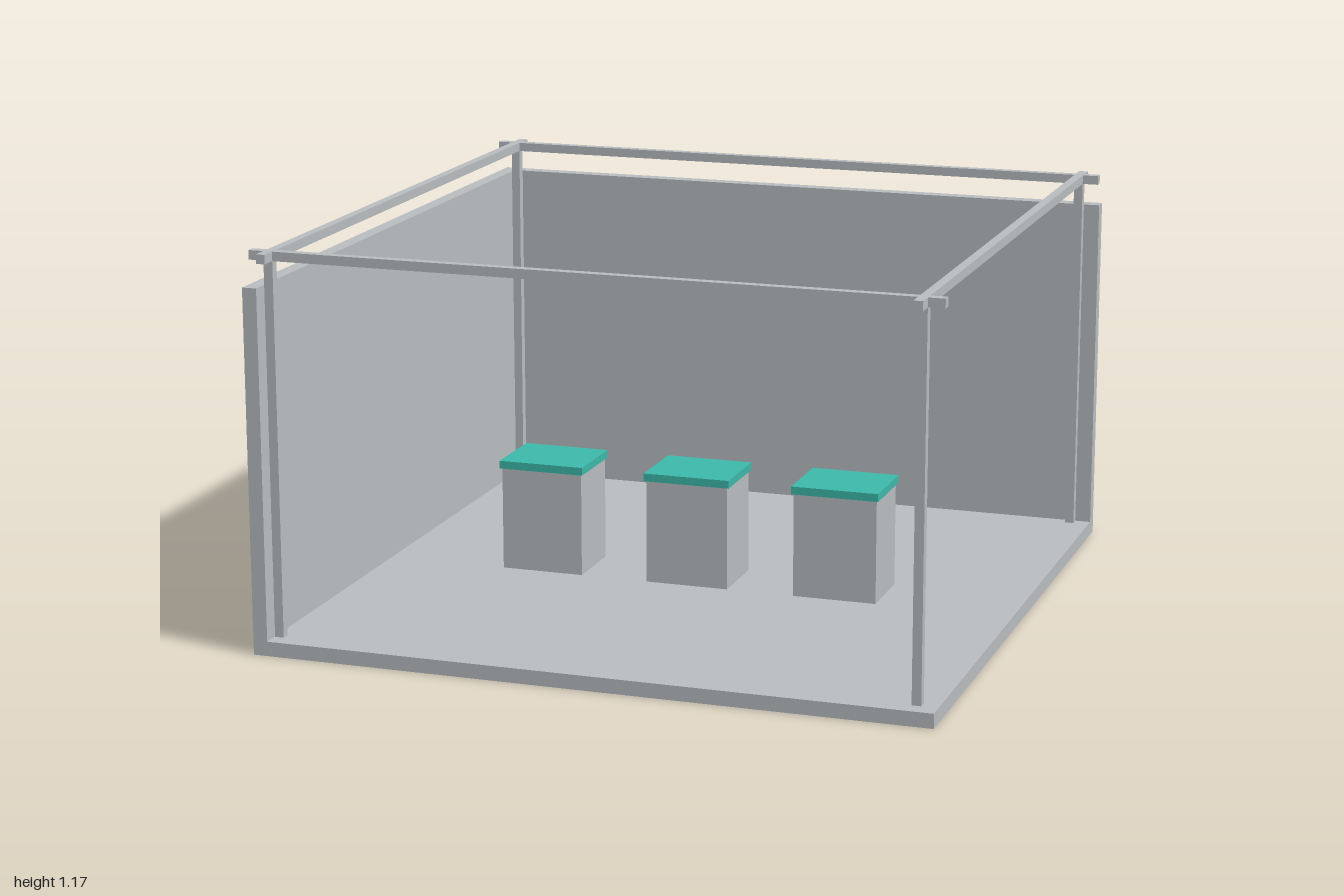
import * as THREE from 'three';

export function createModel() {
  const model = new THREE.Group();
  const grey = new THREE.MeshStandardMaterial({ color: 0xb9bdc0 });
  grey.name = 'pale grey';
  const teal = new THREE.MeshStandardMaterial({ color: 0x3db9aa });
  teal.name = 'teal';

  // Box given by its extents on each axis
  function box(name, material, [x0, x1], [y0, y1], [z0, z1], parent = model) {
    const mesh = new THREE.Mesh(new THREE.BoxGeometry(x1 - x0, y1 - y0, z1 - z0), material);
    mesh.position.set((x0 + x1) / 2, (y0 + y1) / 2, (z0 + z1) / 2);
    mesh.name = name;
    parent.add(mesh);
  }

  // Floor and the two solid walls
  const inner = -0.957, floorTop = 0.043, wallTop = 1.07;
  box('floor', grey, [inner, 1], [0, floorTop], [inner, 1]);
  box('backWall', grey, [-1, 1], [0, wallTop], [-1, inner]);
  box('rightWall', grey, [-1, inner], [0, wallTop], [inner, 1]);

  // Open frame: crossing top rails carried by four corner posts
  const frame = new THREE.Group();
  frame.name = 'frame';
  model.add(frame);
  const railBottom = 1.14, railTop = 1.167;
  const spans = [[-0.955, -0.928], [0.925, 0.952]];
  for (const a of spans) {
    box('crossRail', grey, [-1, 1], [railBottom, railTop], a, frame);
    box('sideRail', grey, a, [railBottom, railTop], [-1, 1], frame);
    for (const b of spans) box('post', grey, a, [floorTop, railBottom], b, frame);
  }

  // Row of three display stands with coloured tops
  for (const x of [-0.462, 0, 0.46]) {
    const stand = new THREE.Group();
    stand.name = 'stand';
    stand.position.x = x;
    model.add(stand);
    box('standBody', grey, [-0.127, 0.127], [floorTop, 0.357], [-0.105, 0.105], stand);
    box('standTop', teal, [-0.133, 0.133], [0.357, 0.381], [-0.112, 0.112], stand);
  }

  return model;
}
